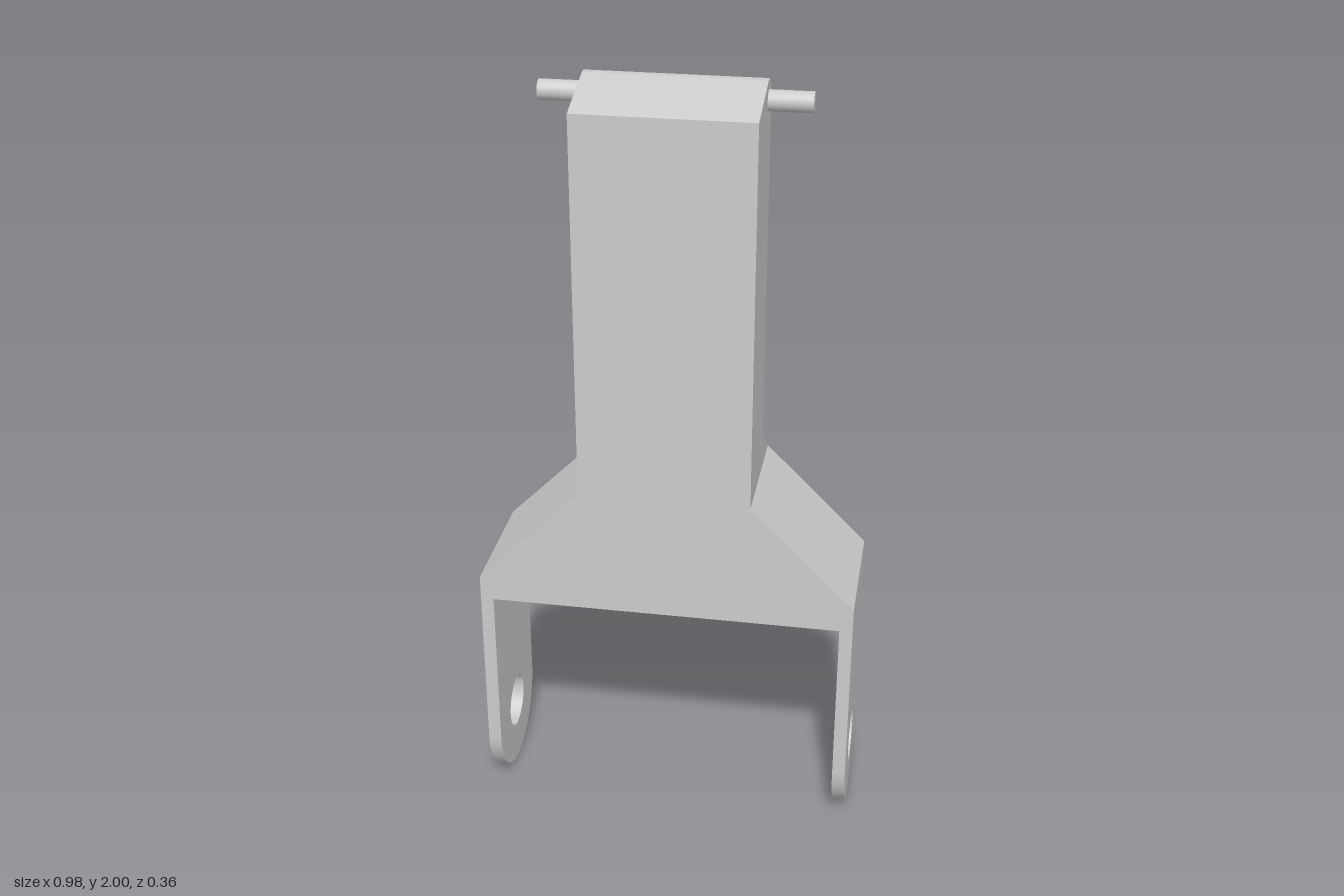
import * as THREE from 'three';
import { toCreasedNormals } from 'three/addons/utils/BufferGeometryUtils.js';

const material = new THREE.MeshStandardMaterial({ color: 0xcccccc });
const HALF_DEPTH = 0.178;   // half thickness of the fork along z
const HALF_WIDTH = 0.49;    // half span of the fork along x
const COLUMN_HALF = 0.22;   // half width of the upright
const BASE_Y = 0.625, SHOULDER_Y = 0.96;
const PIN_Y = 1.95;

function part(name, geometry) {
  const mesh = new THREE.Mesh(geometry, material);
  mesh.name = name;
  return mesh;
}

// Extrudes a shape symmetrically about its own plane, keeping hard edges sharp
function extrude(shape, depth) {
  const geometry = new THREE.ExtrudeGeometry(shape, { depth, bevelEnabled: false, curveSegments: 24 });
  geometry.translate(0, 0, -depth / 2);
  return toCreasedNormals(geometry, 0.4);
}

// Side profile drawn as (z, y), extruded across x
const extrudeSide = (shape, width) => extrude(shape, width).rotateY(-Math.PI / 2);

export function createModel() {
  const group = new THREE.Group();
  group.name = 'forkBracket';

  // Upright with sloped, rounded top and flared back foot
  const column = new THREE.Shape();
  column.moveTo(HALF_DEPTH, SHOULDER_Y);
  column.lineTo(HALF_DEPTH, 1.948);
  column.absarc(0, PIN_Y, 0.05, THREE.MathUtils.degToRad(73), Math.PI, false);
  column.lineTo(-0.05, 1.05);
  column.lineTo(-HALF_DEPTH, SHOULDER_Y);
  column.closePath();
  group.add(part('column', extrudeSide(column, COLUMN_HALF * 2)));

  // Tapered shoulder joining the upright to both arms
  const shoulder = new THREE.Shape([
    [-HALF_WIDTH, BASE_Y], [HALF_WIDTH, BASE_Y], [HALF_WIDTH, 0.69],
    [COLUMN_HALF, SHOULDER_Y], [-COLUMN_HALF, SHOULDER_Y], [-HALF_WIDTH, 0.69],
  ].map(([x, y]) => new THREE.Vector2(x, y)));
  group.add(part('shoulder', extrude(shoulder, HALF_DEPTH * 2)));

  // Thin arms with round ends and a bolt hole
  const arm = new THREE.Shape();
  arm.moveTo(-HALF_DEPTH, BASE_Y);
  arm.lineTo(-HALF_DEPTH, HALF_DEPTH);
  arm.absarc(0, HALF_DEPTH, HALF_DEPTH, Math.PI, Math.PI * 2, false);
  arm.lineTo(HALF_DEPTH, BASE_Y);
  arm.closePath();
  arm.holes.push(new THREE.Path().absarc(0, HALF_DEPTH, 0.073, 0, Math.PI * 2, true));
  const thickness = 0.034;
  const armGeometry = extrudeSide(arm, thickness);
  for (const [name, side] of [['leftArm', 1], ['rightArm', -1]]) {
    const mesh = part(name, armGeometry);
    mesh.position.x = side * (HALF_WIDTH - thickness / 2);
    group.add(mesh);
  }

  // Hinge pin through the top
  const pin = part('hingePin', new THREE.CylinderGeometry(0.025, 0.025, 0.655, 24).rotateZ(Math.PI / 2));
  pin.position.y = PIN_Y;
  group.add(pin);

  return group;
}
